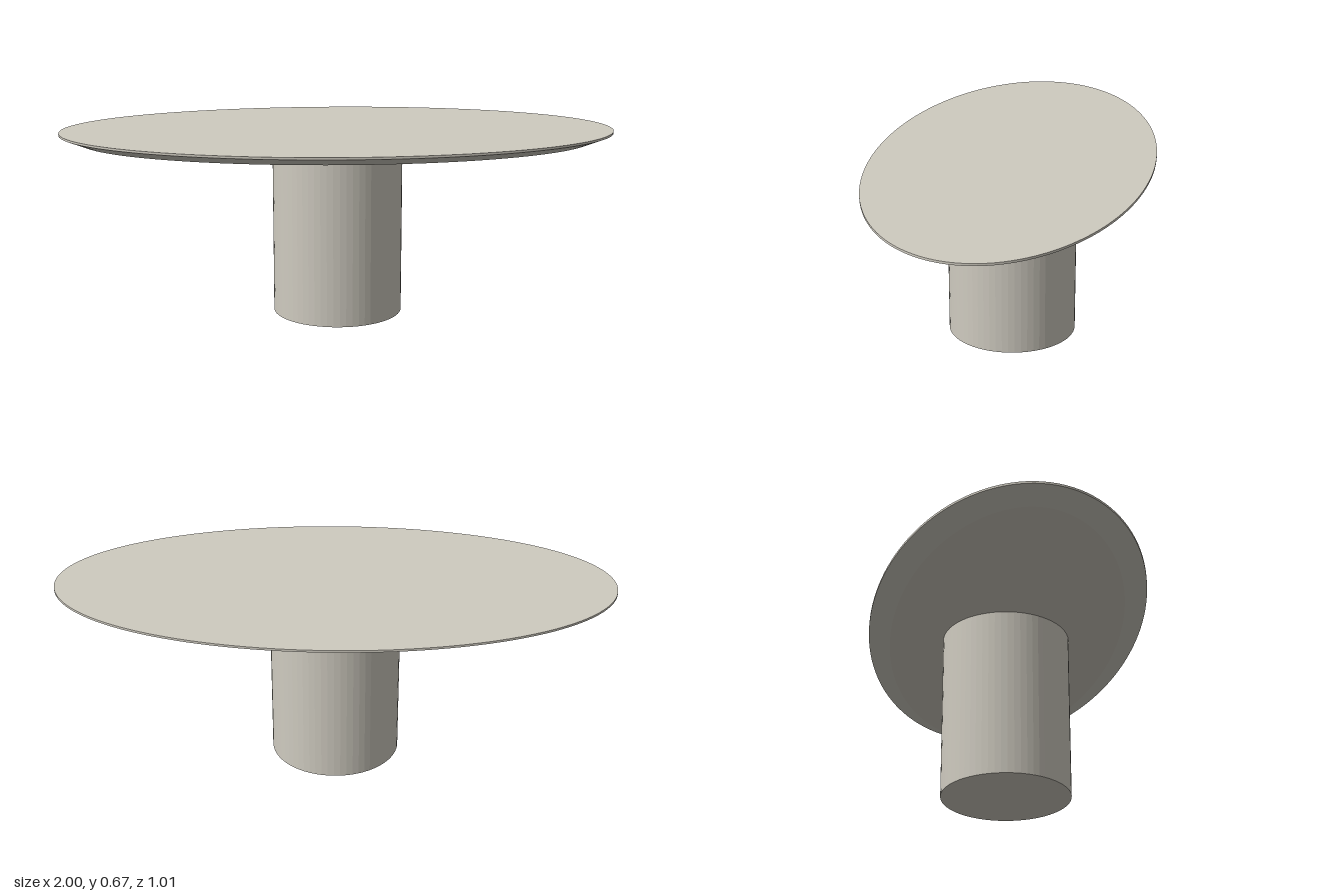
import * as THREE from 'three';

// Split the faces so each facet keeps its own normal
function faceted(geometry) {
  const flat = geometry.toNonIndexed();
  flat.computeVertexNormals();
  return flat;
}

// Oval slab with a thin upright rim and an undercut bevel of even width
function ovalTop(halfX, halfZ, profile, segments) {
  const geo = new THREE.LatheGeometry(profile.map(([r, y]) => new THREE.Vector2(r, y)), segments);
  const pos = geo.attributes.position;
  for (let i = 0; i < pos.count; i++) {
    const x = pos.getX(i), z = pos.getZ(i), r = Math.hypot(x, z);
    if (r < 1e-6) continue;
    const c = x / r, s = z / r, inset = 1 - r;
    // Move inwards along the normal of the ellipse
    const nx = c / halfX, nz = s / halfZ, n = Math.hypot(nx, nz);
    pos.setX(i, c * halfX - inset * nx / n);
    pos.setZ(i, s * halfZ - inset * nz / n);
  }
  return faceted(geo);
}

export function createModel() {
  const model = new THREE.Group();
  model.name = 'ovalPedestalTable';

  const stone = new THREE.MeshStandardMaterial({ color: 0xcfcbc0 });
  stone.name = 'warm grey stone';

  // Tabletop: underside, bevel, rim, upper face
  const profile = [[0, 0.628], [0.92, 0.628], [1, 0.662], [1, 0.67], [0, 0.67]];
  const top = new THREE.Mesh(ovalTop(1, 0.506, profile, 128), stone);
  top.name = 'tabletop';
  model.add(top);

  // Round pedestal
  const height = 0.63;
  const pedestal = new THREE.Mesh(faceted(new THREE.CylinderGeometry(0.235, 0.235, height, 64)), stone);
  pedestal.position.set(0, height / 2, 0.008);
  pedestal.name = 'pedestal';
  model.add(pedestal);

  return model;
}
